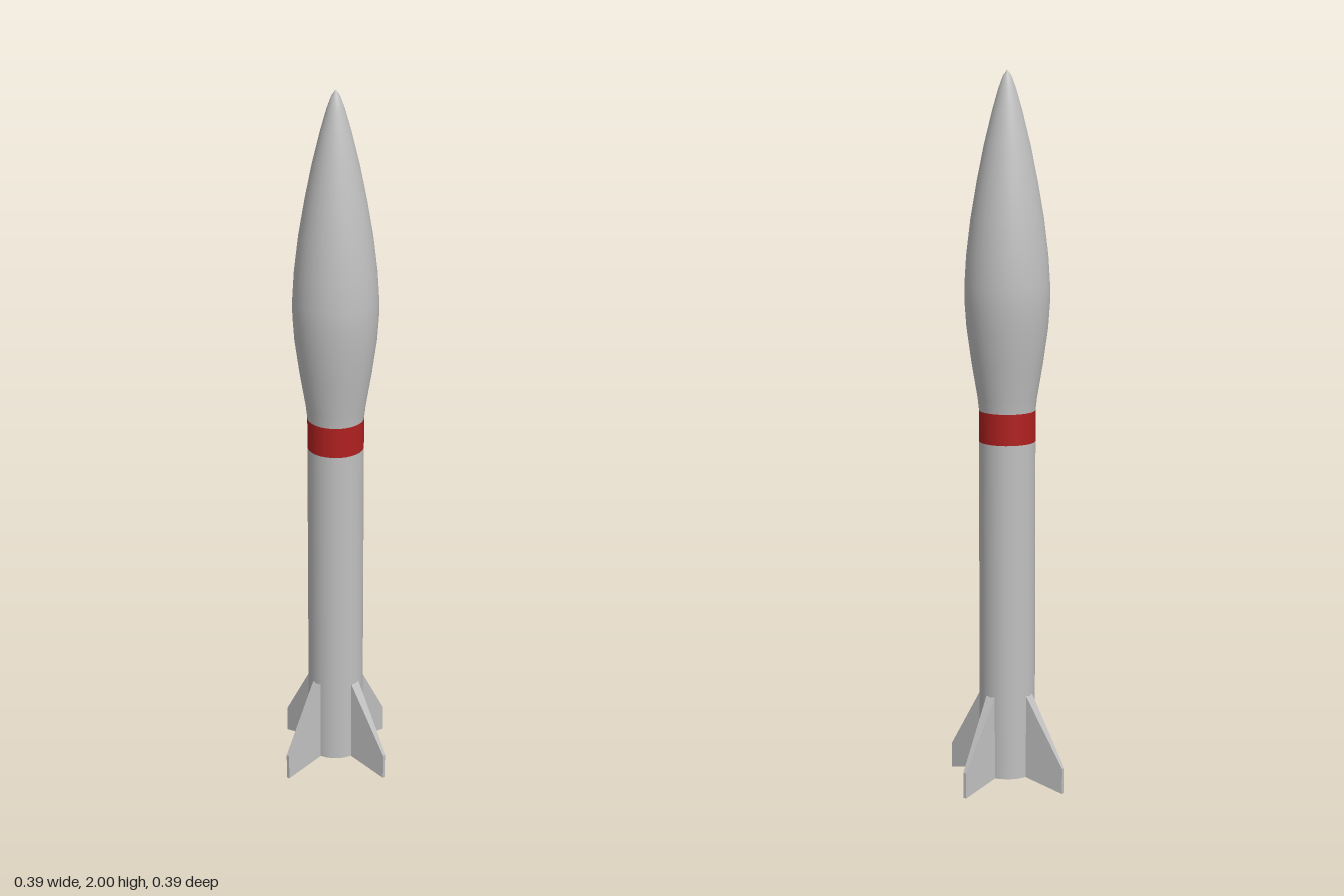
import * as THREE from 'three';

const V = (x, y) => new THREE.Vector2(x, y);

export function createModel() {
  const group = new THREE.Group();
  const material = (name, color) => {
    const m = new THREE.MeshStandardMaterial({ color });
    m.name = name;
    return m;
  };
  const grey = material('light grey', 0xc0c0c0);
  const red = material('red', 0xb02020);
  const black = material('black', 0x141414);
  const add = (name, geometry, mat) => {
    const mesh = new THREE.Mesh(geometry, mat);
    mesh.name = name;
    group.add(mesh);
    return mesh;
  };

  const R = 0.078, SIDES = 32, BASE = 0.028;

  // Straight tube and painted band
  const tube = (name, y0, y1, mat) =>
    add(name, new THREE.CylinderGeometry(R, R, y1 - y0, SIDES, 1, true), mat)
      .position.y = (y0 + y1) / 2;
  tube('body', BASE, 0.983, grey);
  tube('band', 0.983, 1.07, red);

  // Bulged nose cone
  const profile = [
    [R, 1.07], [0.082, 1.105], [0.098, 1.2], [0.112, 1.3], [0.117, 1.37], [0.117, 1.42],
    [0.112, 1.5], [0.1, 1.6], [0.083, 1.7], [0.063, 1.8], [0.041, 1.89], [0.024, 1.95],
    [0.012, 1.983], [0, 2],
  ].map(([x, y]) => V(x, y));
  add('nose', new THREE.LatheGeometry(profile, SIDES), grey);

  // Dark engine opening
  const base = add('engineBase', new THREE.CircleGeometry(R, SIDES), black);
  base.rotation.x = Math.PI / 2;
  base.position.y = BASE;

  // Swept fin, thinning from root to tip
  const outline = new THREE.Shape([V(0.07, BASE + 0.001), V(0.195, 0), V(0.195, 0.073), V(0.07, 0.276)]);
  const finGeometry = new THREE.ExtrudeGeometry(outline, { depth: 1, bevelEnabled: false });
  const p = finGeometry.attributes.position;
  for (let i = 0; i < p.count; i++) {
    const half = THREE.MathUtils.mapLinear(p.getX(i), 0.07, 0.195, 0.015, 0.005);
    p.setZ(i, (p.getZ(i) * 2 - 1) * half);
  }
  finGeometry.computeVertexNormals();
  for (let i = 0; i < 4; i++) {
    add('fin' + (i + 1), finGeometry, grey).rotation.y = i * Math.PI / 2;
  }

  return group;
}
